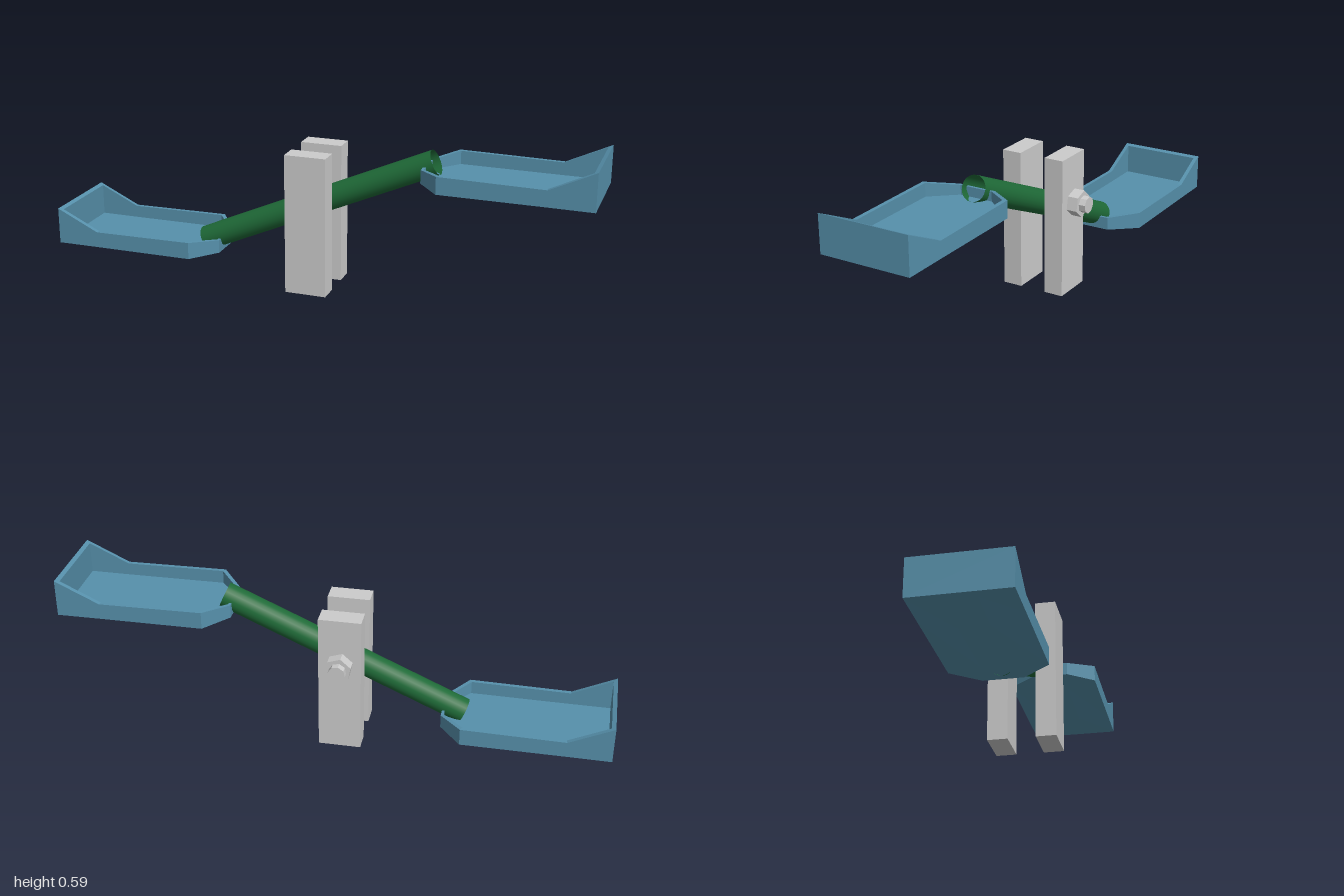
import * as THREE from 'three';

const grey = new THREE.MeshStandardMaterial({ color: 0xcccccc, flatShading: true });
const blue = new THREE.MeshStandardMaterial({ color: 0x5690ab, flatShading: true, side: THREE.DoubleSide });
const green = new THREE.MeshStandardMaterial({ color: 0x1f6b38, side: THREE.DoubleSide });

function add(parent, name, geometry, material, x = 0, y = 0, z = 0) {
  const mesh = new THREE.Mesh(geometry, material);
  mesh.name = name;
  mesh.position.set(x, y, z);
  parent.add(mesh);
  return mesh;
}

// Open tray skinned through five loops; each loop lists [x, y, halfWidth]
// from the narrow inner end to the raised backrest and is mirrored in z.
function seatGeometry() {
  const loops = [
    [[0.4, 0.012, 0.05], [0.5, 0.008, 0.05], [0.8, -0.001, 0.05], [0.97, 0.01, 0.05]], // underside
    [[0.385, 0.014, 0.07], [0.465, 0.014, 0.168], [0.84, 0.013, 0.168], [1, 0.012, 0.168]], // lower edge
    [[0.385, 0.063, 0.07], [0.465, 0.077, 0.168], [0.84, 0.072, 0.168], [1, 0.148, 0.168]], // outer rim
    [[0.395, 0.063, 0.062], [0.472, 0.077, 0.153], [0.838, 0.072, 0.153], [0.985, 0.142, 0.153]], // inner rim
    [[0.395, 0.028, 0.062], [0.472, 0.028, 0.153], [0.838, 0.026, 0.153], [0.985, 0.026, 0.153]], // floor
  ];
  const positions = [];
  const index = [];
  for (const half of loops) {
    for (const [x, y, w] of half) positions.push(x, y, w);
    for (const [x, y, w] of [...half].reverse()) positions.push(x, y, -w);
  }
  for (let k = 0; k < loops.length - 1; k++) {
    for (let i = 0; i < 8; i++) {
      const a = k * 8 + i, b = k * 8 + (i + 1) % 8;
      index.push(a, b, b + 8, a, b + 8, a + 8);
    }
  }
  const last = (loops.length - 1) * 8;
  for (let i = 0; i < 3; i++) {
    const [a, b, c, d] = [i, i + 1, 6 - i, 7 - i];
    index.push(a, c, b, a, d, c);
    index.push(last + a, last + b, last + c, last + a, last + c, last + d);
  }
  const geometry = new THREE.BufferGeometry();
  geometry.setAttribute('position', new THREE.Float32BufferAttribute(positions, 3));
  geometry.setIndex(index);
  const flat = geometry.toNonIndexed();
  flat.computeVertexNormals();
  return flat;
}

export function createModel() {
  const model = new THREE.Group();
  model.name = 'seesaw';

  // Seats: the same tray, turned round for the low end
  const seat = seatGeometry();
  add(model, 'highSeat', seat, blue, 0, 0.442, 0.015);
  add(model, 'lowSeat', seat, blue, 0, 0.081, 0).rotation.y = Math.PI;

  // Hollow tilted beam
  const start = new THREE.Vector3(-0.46, 0.124, 0.008);
  const end = new THREE.Vector3(0.42, 0.514, 0.008);
  const axis = end.clone().sub(start);
  const beam = add(model, 'beam',
    new THREE.CylinderGeometry(0.046, 0.046, axis.length(), 24, 1, true), green);
  beam.position.copy(start).lerp(end, 0.5);
  beam.quaternion.setFromUnitVectors(new THREE.Vector3(0, 1, 0), axis.normalize());

  // Two upright posts either side of the beam
  const post = new THREE.BoxGeometry(0.154, 0.52, 0.073);
  add(model, 'frontPost', post, grey, -0.024, 0.26, 0.089);
  add(model, 'backPost', post, grey, -0.024, 0.26, -0.0835);

  // Pivot bolt: shaft, hexagonal nut and end
  const bolt = new THREE.Group();
  bolt.name = 'pivotBolt';
  bolt.position.set(-0.025, 0.343, 0);
  model.add(bolt);
  for (const [name, radius, sides, z0, z1, turn] of [
    ['shaft', 0.018, 12, 0.1, -0.12, 0],
    ['nut', 0.049, 6, -0.115, -0.16, 0.2],
    ['boltEnd', 0.031, 8, -0.16, -0.185, 0.2],
  ]) {
    const geometry = new THREE.CylinderGeometry(radius, radius, z0 - z1, sides);
    geometry.rotateY(turn).rotateX(Math.PI / 2);
    add(bolt, name, geometry, grey, 0, 0, (z0 + z1) / 2);
  }
  return model;
}
